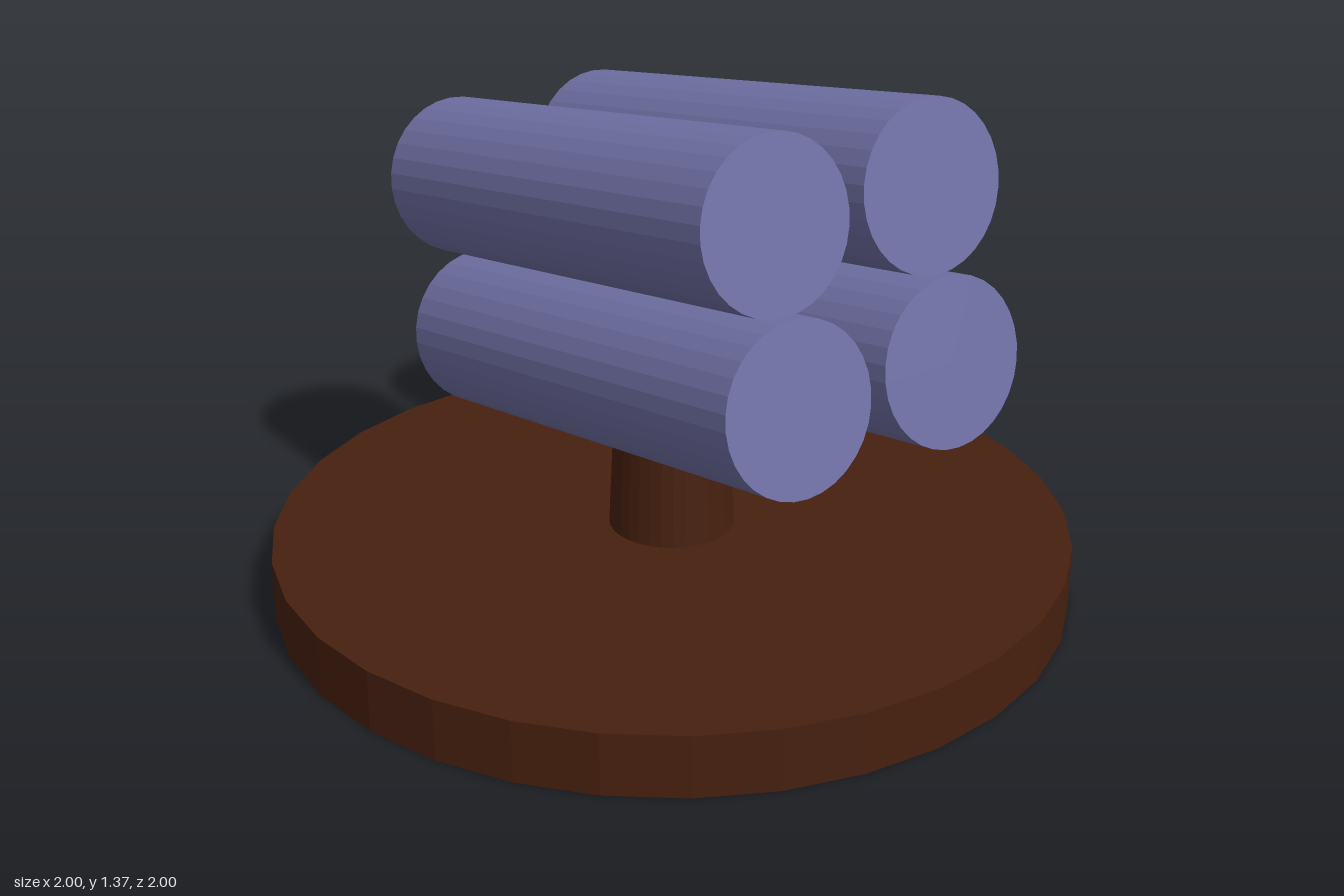
import * as THREE from 'three';

export function createModel() {
  const model = new THREE.Group();
  const wood = new THREE.MeshStandardMaterial({ color: 0x47200f, flatShading: true });
  const metal = new THREE.MeshStandardMaterial({ color: 0x7272a8, flatShading: true });

  const addCylinder = (name, rTop, rBottom, length, material, x, y, z) => {
    const mesh = new THREE.Mesh(new THREE.CylinderGeometry(rTop, rBottom, length, 32), material);
    mesh.name = name;
    mesh.position.set(x, y, z);
    model.add(mesh);
    return mesh;
  };

  // Round base and tapered post
  addCylinder('base', 1, 1, 0.155, wood, 0, 0.0775, 0);
  addCylinder('post', 0.115, 0.16, 0.94, wood, 0, 0.57, 0);

  // Two stacked pairs of tubes, tilted up towards +x
  const tilt = THREE.MathUtils.degToRad(10);
  for (const [side, z] of [['front', 0.225], ['back', -0.21]]) {
    for (const [level, x, y] of [['Upper', 0.035, 1.067], ['Lower', 0.125, 0.682]]) {
      const tube = addCylinder(`${side}${level}Tube`, 0.197, 0.197, 1.3, metal, x, y, z);
      tube.rotation.z = tilt - Math.PI / 2;
    }
  }
  return model;
}
